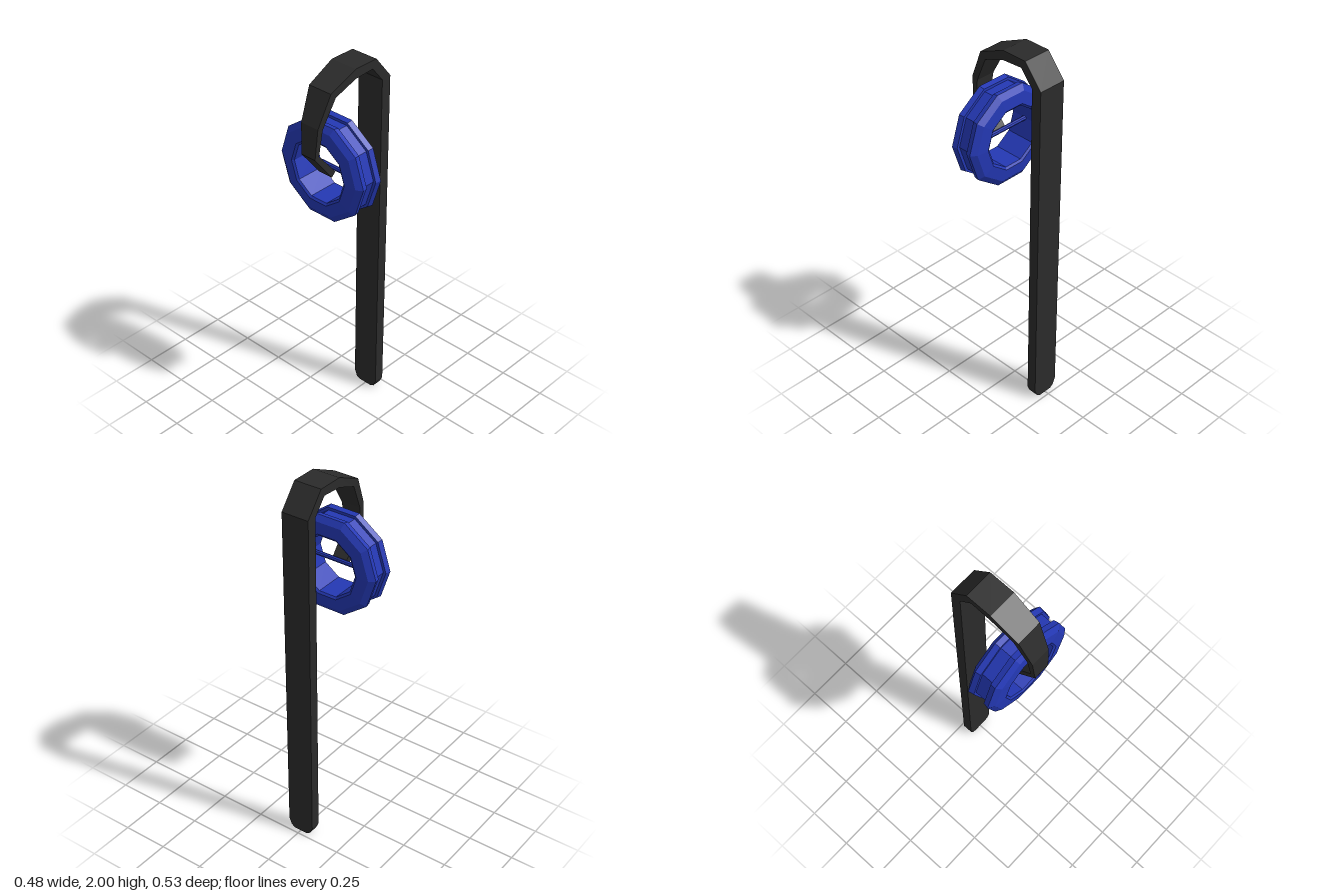
import * as THREE from 'three';

const blue = new THREE.MeshStandardMaterial({ color: 0x2438b4, flatShading: true });
const black = new THREE.MeshStandardMaterial({ color: 0x2b2b2b, flatShading: true });

// Flat strap swept through sections: [outerX, outerY, innerX, innerY, halfWidth]
function strapGeometry(sections) {
  const pos = [], idx = [];
  for (const [ox, oy, ix, iy, w] of sections) {
    pos.push(ox, oy, w, ox, oy, -w, ix, iy, -w, ix, iy, w);
  }
  for (let s = 0; s < sections.length - 1; s++) {
    for (let k = 0; k < 4; k++) {
      const a = s * 4 + k, b = s * 4 + (k + 1) % 4;
      idx.push(a, b, b + 4, a, b + 4, a + 4);
    }
  }
  const e = (sections.length - 1) * 4;
  idx.push(0, 3, 2, 0, 2, 1, e, e + 1, e + 2, e, e + 2, e + 3);
  const g = new THREE.BufferGeometry();
  g.setAttribute('position', new THREE.Float32BufferAttribute(pos, 3));
  g.setIndex(idx);
  g.computeVertexNormals();
  return g;
}

function add(parent, name, geometry, material) {
  const mesh = new THREE.Mesh(geometry, material);
  mesh.name = name;
  parent.add(mesh);
  return mesh;
}

export function createModel() {
  const model = new THREE.Group();
  model.name = 'hangingPulley';

  // Long post with rounded foot, curling over into a tapering hook
  add(model, 'hookStrap', strapGeometry([
    [0.225, 0.0, 0.17, 0.005, 0.04],
    [0.225, 0.015, 0.17, 0.015, 0.06],
    [0.225, 0.05, 0.17, 0.05, 0.075],
    [0.238, 1.88, 0.183, 1.875, 0.075],
    [0.14, 2.0, 0.115, 1.957, 0.075],
    [0.0, 2.0, 0.0, 1.95, 0.075],
    [-0.157, 1.93, -0.125, 1.9, 0.068],
    [-0.228, 1.77, -0.197, 1.755, 0.053],
    [-0.24, 1.61, -0.213, 1.62, 0.044],
    [-0.125, 1.465, -0.1, 1.488, 0.04],
  ]), black);

  // Ten-sided grooved wheel with an open centre, turning about x
  const wheel = new THREE.Group();
  wheel.name = 'wheel';
  wheel.position.set(-0.092, 1.5, 0);
  model.add(wheel);
  const half = [[0.245, 0.031], [0.26, 0.031], [0.266, 0.06], [0.235, 0.081], [0.172, 0.088], [0.16, 0.08]];
  const profile = [
    ...half.slice().reverse().map(([r, x]) => [r, -x]),
    ...half,
    [half[5][0], -half[5][1]],
  ].map(([r, x]) => new THREE.Vector2(r, x));
  add(wheel, 'rim', new THREE.LatheGeometry(profile, 10), blue).rotation.z = -Math.PI / 2;

  // Thin axle across the opening
  add(wheel, 'axle', new THREE.CylinderGeometry(0.012, 0.012, 0.33, 8), blue).rotation.x = Math.PI / 2;

  return model;
}
